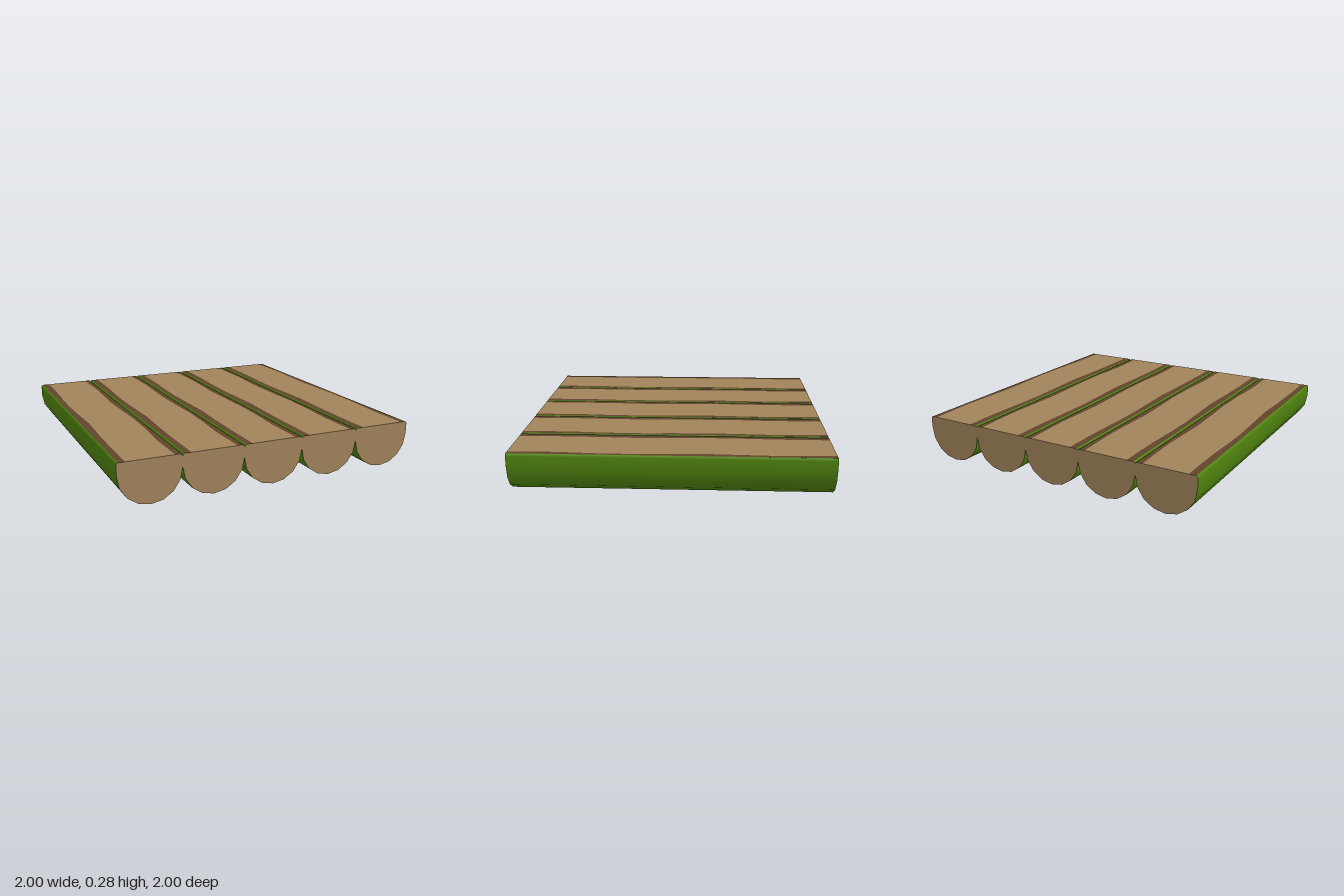
import * as THREE from 'three';

const mat = (name, color) => new THREE.MeshStandardMaterial({ name, color });

// Surface through rows of points; rows advance to the viewer's right seen from outside
function loft(rows) {
  const n = rows[0].length, index = [];
  for (let i = 0; i < rows.length - 1; i++) {
    for (let j = 0; j < n - 1; j++) {
      const a = i * n + j, b = a + n;
      index.push(a, b, a + 1, b, b + 1, a + 1);
    }
  }
  const g = new THREE.BufferGeometry();
  g.setAttribute('position', new THREE.Float32BufferAttribute(rows.flat(2), 3));
  g.setIndex(index);
  g.computeVertexNormals();
  return g;
}

export function createModel() {
  const wood = mat('cut wood', 0xa0835a);
  const edge = mat('dark wood edge', 0x61452c);
  const bark = mat('green bark', 0x4f840f);

  const R = 0.2, TOP = 0.28, INNER = 0.188;

  // Half-log outline: rounded corner, half circle, rounded corner
  const corner = [[INNER, TOP], [0.197, 0.276], [R, 0.265]];
  const profile = [...corner];
  for (let i = 0; i <= 8; i++) {
    const a = (i / 8) * Math.PI;
    profile.push([R * Math.cos(a), R - R * Math.sin(a)]);
  }
  profile.push(...corner.map(([x, y]) => [-x, y]).reverse());

  const barkGeo = loft(profile.map(([x, y]) => [[x, y, 1], [x, y, -1]]));
  const endGeo = new THREE.ShapeGeometry(
    new THREE.Shape(profile.map(([x, y]) => new THREE.Vector2(x, y))));

  // Wavy borders between the pale top and its dark edges: z, left x, right x
  const wave = [
    [1, -0.145, 0.155], [0.7, -0.147, 0.15], [0.45, -0.143, 0.165],
    [0.2, -0.134, 0.168], [0, -0.143, 0.158], [-0.25, -0.152, 0.15],
    [-0.45, -0.15, 0.157], [-0.65, -0.142, 0.164], [-0.85, -0.14, 0.158], [-1, -0.143, 0.15],
  ];
  const line = (x) => wave.map((w) => [x(w), TOP, w[0]]);
  const borders = [line(() => -INNER), line((w) => w[1]), line((w) => w[2]), line(() => INNER)];
  const strips = [0, 1, 2].map((i) => loft([borders[i], borders[i + 1]]));

  const model = new THREE.Group();
  model.name = 'logPlatform';
  for (let i = 0; i < 5; i++) {
    const log = new THREE.Group();
    log.name = `halfLog${i + 1}`;
    log.position.x = (i - 2) * 2 * R;
    const add = (name, geo, material) => {
      const m = new THREE.Mesh(geo, material);
      m.name = name;
      log.add(m);
      return m;
    };
    add('bark', barkGeo, bark);
    add('frontEnd', endGeo, wood).position.z = 1;
    const back = add('backEnd', endGeo, wood);
    back.position.z = -1;
    back.rotation.y = Math.PI;
    add('rightTopEdge', strips[0], edge);
    add('topFace', strips[1], wood);
    add('leftTopEdge', strips[2], edge);
    model.add(log);
  }
  return model;
}
